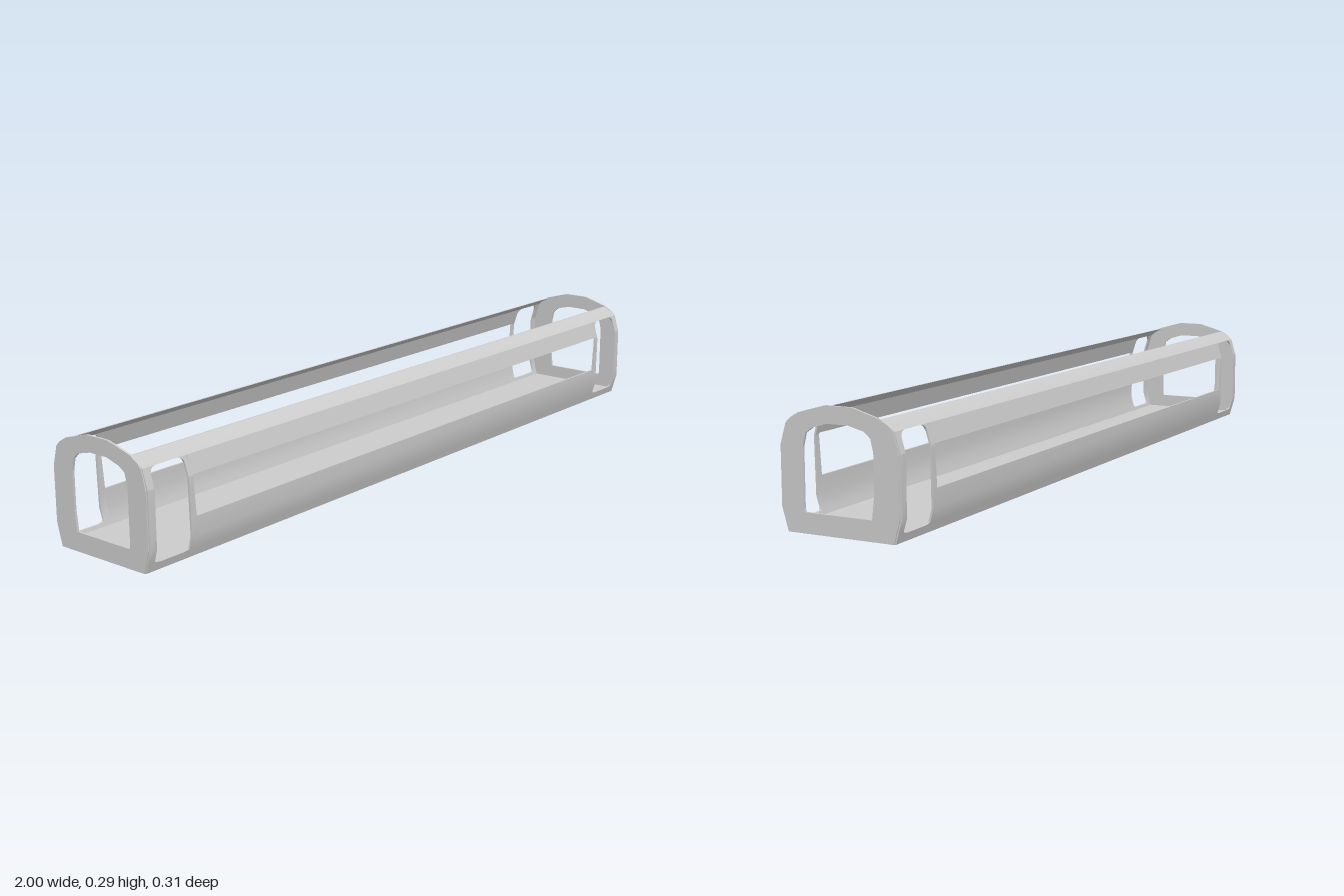
import * as THREE from 'three';

const mat = new THREE.MeshStandardMaterial({ color: 0xcccccc, side: THREE.DoubleSide });

// Outer half-width of the body (z) by height (y)
const PROFILE = [[0, 0.141], [0.055, 0.157], [0.195, 0.157], [0.245, 0.142], [0.255, 0.13], [0.268, 0.107]];
const THICK = 0.005;
const END = 0.997;
const SILL = 0.02, HEADER = 0.245, RADIUS = 0.018;

function halfWidth(y) {
  for (let i = 1; i < PROFILE.length; i++) {
    const [y0, z0] = PROFILE[i - 1], [y1, z1] = PROFILE[i];
    if (y <= y1) return z0 + (z1 - z0) * (y - y0) / (y1 - y0);
  }
  return PROFILE[PROFILE.length - 1][1];
}

// A thin wall piece following the body profile; its ends may vary with height
function wallPiece(name, rows, left, right) {
  const n = rows.length - 1;
  const geo = new THREE.BoxGeometry(1, 1, 1, 1, n, 1);
  const p = geo.attributes.position;
  for (let i = 0; i < p.count; i++) {
    const y = rows[Math.round((p.getY(i) + 0.5) * n)];
    const x = p.getX(i) < 0 ? left(y) : right(y);
    const z = halfWidth(y) - (p.getZ(i) < 0 ? THICK : 0);
    p.setXYZ(i, x, y, z);
  }
  geo.computeVertexNormals();
  const mesh = new THREE.Mesh(geo, mat);
  mesh.name = name;
  return mesh;
}

// Extra post width that rounds the doorway corners
function fillet(y) {
  const d = Math.max(0, RADIUS - (HEADER - y), (0.006 - (y - SILL)) * 3);
  return RADIUS - Math.sqrt(Math.max(0, RADIUS * RADIUS - d * d));
}

const doorOuter = (y) => 0.977 - fillet(y);
const doorInner = (y) => 0.868 + 0.006 * (y - SILL) / (HEADER - SILL) + fillet(y);
const windowEnd = (y) => 0.852 + 0.08 * (y - 0.1);
const flip = (f) => (y) => -f(y);
const at = (x) => () => x;

// One long side with two doorways and a long window
function createSide(name) {
  const side = new THREE.Group();
  side.name = name;
  const rows = [SILL, 0.022, 0.026, 0.055, 0.1, 0.15, 0.195, 0.2, 0.227, 0.233, 0.238, 0.242, HEADER];
  side.add(
    wallPiece('sill', [0, SILL], at(-END), at(END)),
    wallPiece('lowerPanel', [SILL, 0.055, 0.1], at(-0.86), at(0.86)),
    wallPiece('upperPanel', [0.2, HEADER], at(-0.862), at(0.862)),
    wallPiece('roofEdge', [HEADER, 0.255, 0.268], at(-END), at(END)),
    wallPiece('endPost', rows, doorOuter, at(END)),
    wallPiece('endPost', rows, at(-END), flip(doorOuter)),
    wallPiece('doorPillar', rows, windowEnd, doorInner),
    wallPiece('doorPillar', rows, flip(doorInner), flip(windowEnd)),
  );
  return side;
}

// End frame with an arched gangway opening
function createEndFrame(name, x) {
  const half = [[0.138, 0], [0.153, 0.055], [0.153, 0.195], [0.14, 0.245], [0.128, 0.257], [0.106, 0.27], [0.035, 0.29]];
  const outline = [...half, ...half.slice().reverse().map(([z, y]) => [-z, y])];
  const opening = [
    [0.092, 0.048], [0.095, 0.056], [0.095, 0.195], [0.087, 0.226], [0.07, 0.238], [0.03, 0.25],
    [-0.025, 0.25], [-0.066, 0.24], [-0.082, 0.226], [-0.089, 0.195], [-0.089, 0.1], [-0.083, 0.048],
  ];
  const toVec = ([z, y]) => new THREE.Vector2(z, y);
  const shape = new THREE.Shape(outline.map(toVec));
  shape.holes.push(new THREE.Path(opening.map(toVec)));
  const depth = 0.006;
  const geo = new THREE.ExtrudeGeometry(shape, { depth, bevelEnabled: false });
  geo.translate(0, 0, -depth / 2).rotateY(-Math.PI / 2);
  const mesh = new THREE.Mesh(geo, mat);
  mesh.name = name;
  mesh.position.x = x;
  return mesh;
}

export function createModel() {
  const model = new THREE.Group();
  model.name = 'carriageShell';

  // Floor pan
  const floor = new THREE.Mesh(new THREE.BoxGeometry(2 * END - 0.004, 0.012, 0.276), mat);
  floor.name = 'floor';
  floor.position.y = 0.006;
  model.add(floor);

  // Long sides, the back one turned around
  const back = createSide('backSide');
  back.rotation.y = Math.PI;
  model.add(createSide('frontSide'), back);

  // Ends
  model.add(createEndFrame('leftEndFrame', 0.997), createEndFrame('rightEndFrame', -0.997));
  return model;
}
